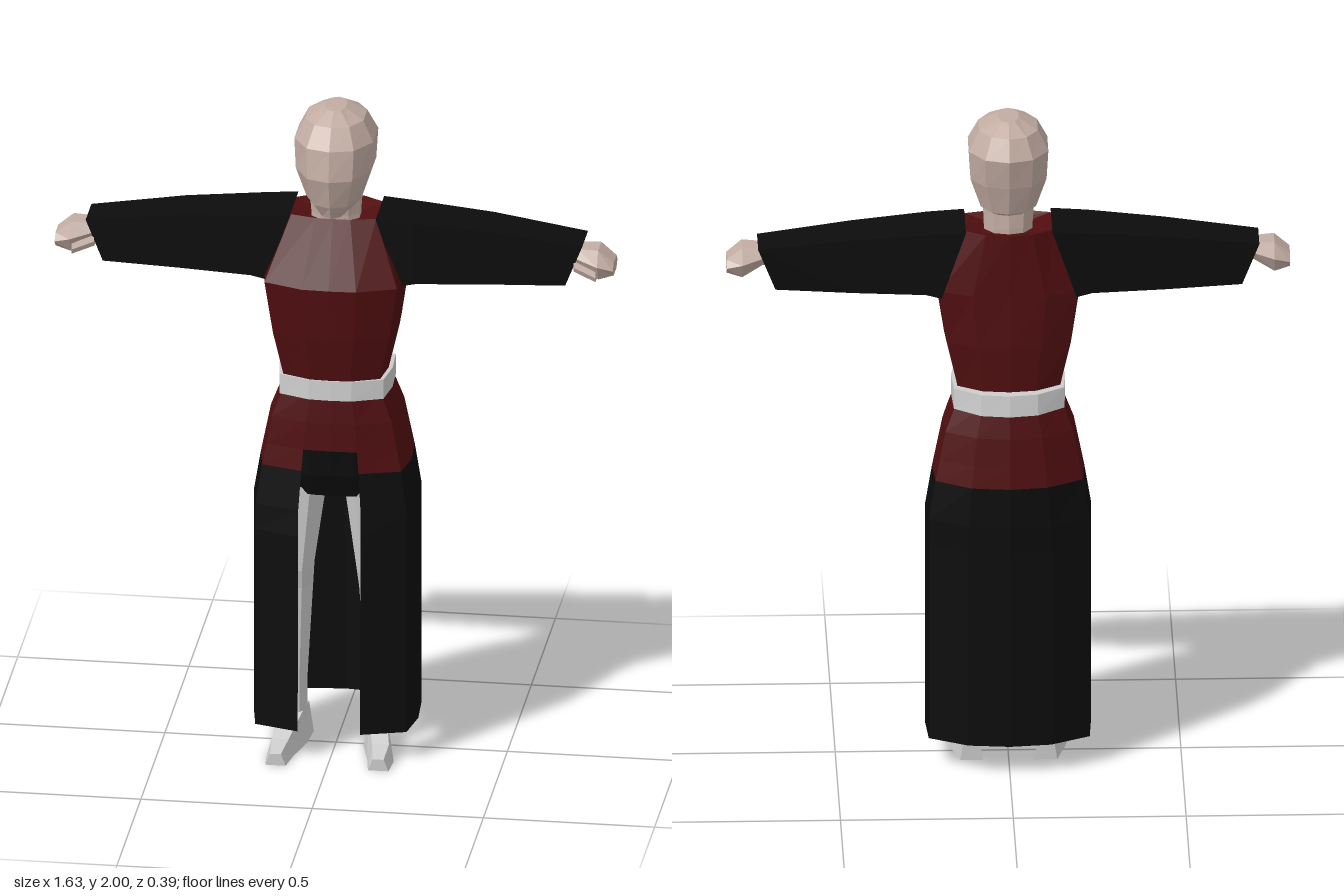
import * as THREE from 'three';

const RED = 0x500e10, BLACK = 0x0c0c0c, GREY = 0xcccccc, SKIN = 0xc2aca2;

// Half outlines of the cross-sections, front centre to back centre, as [x, z]
const BODY = [[0, 1], [0.38, 0.98], [0.92, 0.72], [1, 0], [0.97, -0.62], [0.5, -0.93], [0, -1]];
const HEAD = [[0, 1], [0.6, 0.86], [1, 0.35], [1, -0.4], [0.6, -0.86], [0, -1]];

// Full horizontal ring: half width w, front depth f, back depth b
function ring([y, w, f, b, tilt = 0], half = BODY) {
  const full = [...half, ...half.slice(1, -1).reverse().map(([x, z]) => [-x, z])];
  return full.map(([x, z]) => {
    const pz = z * (z > 0 ? f : b);
    return [x * w, y + tilt * pz, pz];
  });
}

// Skin over rings that run counter-clockwise about the stacking direction
function loft(rings, { open = false, caps = true } = {}) {
  const pos = [];
  const n = rings[0].length;
  const tri = (a, b, c) => pos.push(...a, ...b, ...c);
  for (let i = 0; i < rings.length - 1; i++) {
    for (let j = 0; j < (open ? n - 1 : n); j++) {
      const k = (j + 1) % n;
      tri(rings[i][j], rings[i][k], rings[i + 1][k]);
      tri(rings[i][j], rings[i + 1][k], rings[i + 1][j]);
    }
  }
  if (caps && !open) {
    const last = rings[rings.length - 1];
    for (let j = 1; j < n - 1; j++) {
      tri(rings[0][0], rings[0][j + 1], rings[0][j]);
      tri(last[0], last[j], last[j + 1]);
    }
  }
  const geo = new THREE.BufferGeometry();
  geo.setAttribute('position', new THREE.Float32BufferAttribute(pos, 3));
  geo.computeVertexNormals();
  return geo;
}

const mirror = (rings) => rings.map((r) => r.map(([x, y, z]) => [-x, y, z]).reverse());

export function createModel() {
  const model = new THREE.Group();
  model.name = 'robedFigure';

  const add = (name, color, rings, options = {}) => {
    const thin = options.open || options.caps === false;
    const material = new THREE.MeshStandardMaterial({
      color, flatShading: true, side: thin ? THREE.DoubleSide : THREE.FrontSide,
    });
    const mesh = new THREE.Mesh(loft(rings, options), material);
    mesh.name = name;
    model.add(mesh);
  };
  const addPair = (name, color, rings, options) => {
    add('left' + name, color, rings, options);
    add('right' + name, color, mirror(rings), options);
  };

  // Head and neck
  add('head', SKIN, [
    [1.70, 0.045, 0.115, 0.06, -0.1], [1.73, 0.08, 0.135, 0.105], [1.82, 0.11, 0.16, 0.13],
    [1.91, 0.115, 0.145, 0.147], [1.97, 0.085, 0.105, 0.115], [2.0, 0.03, 0.05, 0.06],
  ].map((r) => ring(r, HEAD)));
  add('neck', SKIN, [[1.60, 0.07, 0.045, 0.075], [1.67, 0.07, 0.045, 0.075], [1.74, 0.075, 0.055, 0.07]]
    .map((r) => ring(r, HEAD)));

  // Tunic above the belt, folding in at the collar
  add('torso', RED, [
    [1.17, 0.15, 0.125, 0.135], [1.32, 0.185, 0.145, 0.137], [1.48, 0.21, 0.16, 0.13],
    [1.67, 0.135, 0.07, 0.125], [1.655, 0.08, 0.05, 0.08],
  ].map((r) => ring(r)));

  add('belt', GREY, [[1.125, 0.165, 0.137, 0.175, 0.02], [1.185, 0.165, 0.132, 0.165, 0.01]].map((r) => ring(r)));

  // Tunic below the belt, with a notch at the front
  const notchTop = [0.965, 0.207, 0.128, 0.182];
  const waistSeam = [0.9, 0.22, 0.133, 0.19];
  add('hips', RED, [notchTop, [1.05, 0.19, 0.125, 0.172], [1.14, 0.155, 0.118, 0.155]].map((r) => ring(r)),
    { caps: false });
  const slit = (r) => ring(r).slice(1);
  add('hipSides', RED, [waistSeam, notchTop].map(slit), { open: true });

  // Long skirt, open down the front
  add('skirt', BLACK, [[0.09, 0.24, 0.152, 0.188], [0.7, 0.24, 0.15, 0.19], [0.78, 0.24, 0.143, 0.192], waistSeam]
    .map(slit), { open: true });

  // Dark trousers seat behind the notch
  add('pelvis', BLACK, [[0.81, 0.15, 0.09, 0.12], [0.88, 0.17, 0.11, 0.14], [1.0, 0.17, 0.115, 0.14]]
    .map((r) => ring(r)));

  // Legs: [y, centre x, centre z, half width, half depth]
  addPair('Leg', GREY, [
    [0.06, 0.12, -0.025, 0.03, 0.04], [0.2, 0.12, -0.02, 0.032, 0.042], [0.5, 0.115, -0.005, 0.045, 0.06],
    [0.56, 0.115, 0.01, 0.05, 0.06], [0.83, 0.1, 0.0, 0.072, 0.085],
  ].map(([y, x, z, w, d]) => [[0.5, 1], [1, 0.4], [1, -0.4], [0.5, -1], [-0.5, -1], [-1, -0.4], [-1, 0.4], [-0.5, 1]]
    .map(([u, v]) => [x + u * w, y, z + v * d])));

  // Feet: [z, inner x, outer x, height]
  addPair('Foot', GREY, [
    [-0.072, 0.075, 0.14, 0.095], [0.02, 0.083, 0.165, 0.095], [0.12, 0.108, 0.185, 0.052], [0.195, 0.12, 0.18, 0.035],
  ].map(([z, a, b, h]) => [[b, 0, z], [b - 0.014, h, z], [a + 0.014, h, z], [a, 0, z]]));

  // Square sleeves, open at the cuff: [top x, bottom x, top y, bottom y, front z, back z]
  addPair('Sleeve', BLACK, [
    [0.125, 0.195, 1.675, 1.47, 0.07, -0.11], [0.23, 0.24, 1.668, 1.48, 0.07, -0.105],
    [0.45, 0.45, 1.65, 1.485, 0.055, -0.095], [0.725, 0.675, 1.615, 1.49, 0.045, -0.075],
  ].map(([xt, xb, t, b, f, k]) => [[xt, t, f], [xb, b, f], [xb, b, k], [xt, t, k]]), { caps: false });

  // Hands and thumbs: [x, top y, bottom y, front z, back z], with chamfered edges
  const mitt = ([x, t, b, f, k]) => {
    const m = (t + b) / 2, c = (f - k) * 0.2;
    return [[x, t, f - c], [x, m, f], [x, b, f - c], [x, b, k + c], [x, m, k], [x, t, k + c]];
  };
  addPair('Hand', SKIN, [
    [0.62, 1.58, 1.545, 0.02, -0.03], [0.71, 1.6, 1.548, 0.045, -0.045],
    [0.77, 1.602, 1.512, 0.06, -0.055], [0.815, 1.565, 1.525, 0.052, -0.047],
  ].map(mitt));
  addPair('Thumb', SKIN, [[0.7, 1.565, 1.535, 0.05, 0.02], [0.765, 1.54, 1.51, 0.06, 0.03]].map(mitt));

  return model;
}
